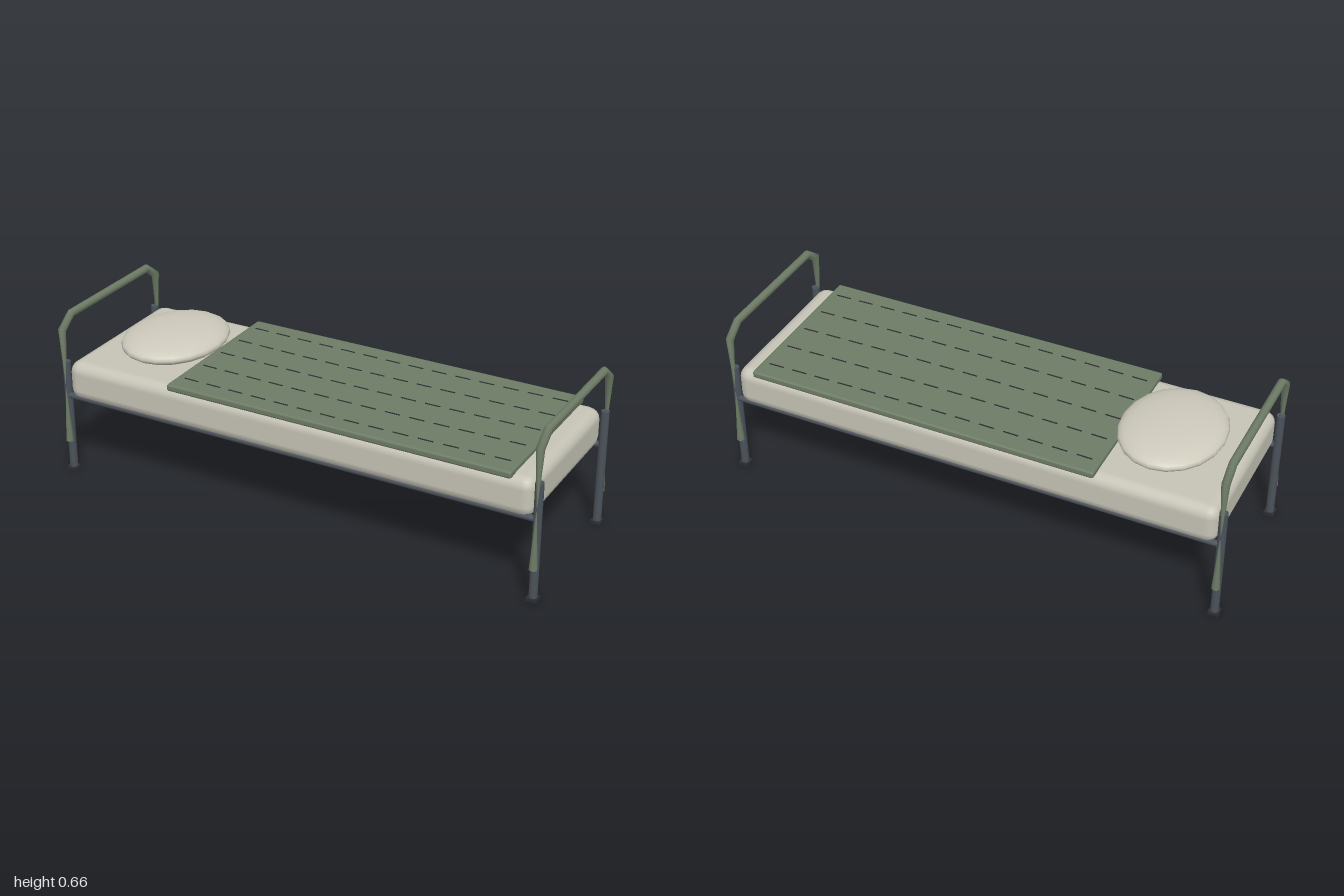
import * as THREE from 'three';
import { RoundedBoxGeometry } from 'three/addons/geometries/RoundedBoxGeometry.js';

const mat = (color) => {
  const m = new THREE.MeshStandardMaterial();
  m.color.set(color);
  return m;
};
const steel = mat(0x4b525a), dark = mat(0x2c2f33), green = mat(0x6d7b65);
const linen = mat(0xc6c4b6), pillowCloth = mat(0xcdcabc);

const END_X = 0.98, LEG_Z = 0.302;

// Tube with its own radius at each point of a bent path in the y-z plane.
function bentTube(points, sides = 10) {
  const pos = [], index = [];
  const dir = (a, b) => new THREE.Vector2(b[0] - a[0], b[1] - a[1]).normalize();
  points.forEach((p, i) => {
    const before = dir(points[Math.max(i - 1, 0)], points[Math.max(i, 1)]);
    const after = dir(points[Math.min(i, points.length - 2)], points[Math.min(i + 1, points.length - 1)]);
    const t = before.clone().add(after).normalize();
    const miter = 1 / t.dot(after);
    for (let s = 0; s < sides; s++) {
      const a = (s / sides) * Math.PI * 2, c = Math.cos(a) * p[2] * miter;
      pos.push(Math.sin(a) * p[2], p[1] + t.x * c, p[0] - t.y * c);
      if (i === 0) continue;
      const n = (s + 1) % sides, k = (i - 1) * sides, l = i * sides;
      index.push(k + s, k + n, l + s, k + n, l + n, l + s);
    }
  });
  const geo = new THREE.BufferGeometry();
  geo.setAttribute('position', new THREE.Float32BufferAttribute(pos, 3));
  geo.setIndex(index);
  geo.computeVertexNormals();
  return geo;
}

export function createModel() {
  const root = new THREE.Group();
  root.name = 'bed';
  const add = (name, geo, material, x = 0, y = 0, z = 0, parent = root) => {
    const mesh = new THREE.Mesh(geo, material);
    mesh.name = name;
    mesh.position.set(x, y, z);
    parent.add(mesh);
    return mesh;
  };

  // Legs with square feet
  const legGeo = new THREE.CylinderGeometry(0.016, 0.016, 0.457, 12);
  const footGeo = new THREE.BoxGeometry(0.04, 0.012, 0.04);
  for (const sx of [-1, 1]) for (const sz of [-1, 1]) {
    add('leg', legGeo, steel, sx * END_X, 0.2385, sz * LEG_Z);
    add('foot', footGeo, dark, sx * END_X, 0.006, sz * LEG_Z);
  }

  // End hoops: uprights pinch to a waist halfway up
  const side = [[0.316, 0.13, 0.0155], [0.316, 0.366, 0.0015], [0.315, 0.601, 0.0155], [0.254, 0.6475, 0.0155]];
  const path = [...side, ...side.map(([z, y, r]) => [-z, y, r]).reverse()];
  const hoopGeo = bentTube(path);
  const hoopMat = green.clone();
  hoopMat.side = THREE.DoubleSide;
  for (const sx of [-1, 1]) add('endHoop', hoopGeo, hoopMat, sx * END_X);

  // Long side rails
  const railGeo = new THREE.CylinderGeometry(0.0125, 0.0125, 1.94, 10).rotateZ(Math.PI / 2);
  for (const sz of [-1, 1]) add('sideRail', railGeo, steel, 0, 0.325, sz * 0.305);

  // Mattress
  add('mattress', new RoundedBoxGeometry(1.93, 0.158, 0.65, 2, 0.045), linen, 0, 0.395, 0);

  // Blanket with five rows of stitches that bow slightly
  const blanket = new THREE.Group();
  blanket.name = 'blanket';
  root.add(blanket);
  add('blanketSheet', new RoundedBoxGeometry(1.39, 0.028, 0.66, 2, 0.009), green, 0.19, 0.478, 0, blanket);
  const stitchGeo = new THREE.BoxGeometry(0.06, 0.003, 0.005);
  for (let row = -2; row <= 2; row++) {
    for (let i = 0; i < 14; i++) {
      const u = (i + 0.5) / 14;
      const z = row * 0.128 + 0.01 * Math.sin(u * Math.PI) - 0.003;
      const stitch = add('stitch', stitchGeo, dark, -0.49 + u * 1.36, 0.4925, z, blanket);
      stitch.rotation.y = -0.023 * Math.cos(u * Math.PI);
    }
  }

  // Pillow
  const pillowGeo = new THREE.SphereGeometry(1, 20, 14).scale(0.196, 0.051, 0.243);
  add('pillow', pillowGeo, pillowCloth, -0.675, 0.515, 0);

  return root;
}
